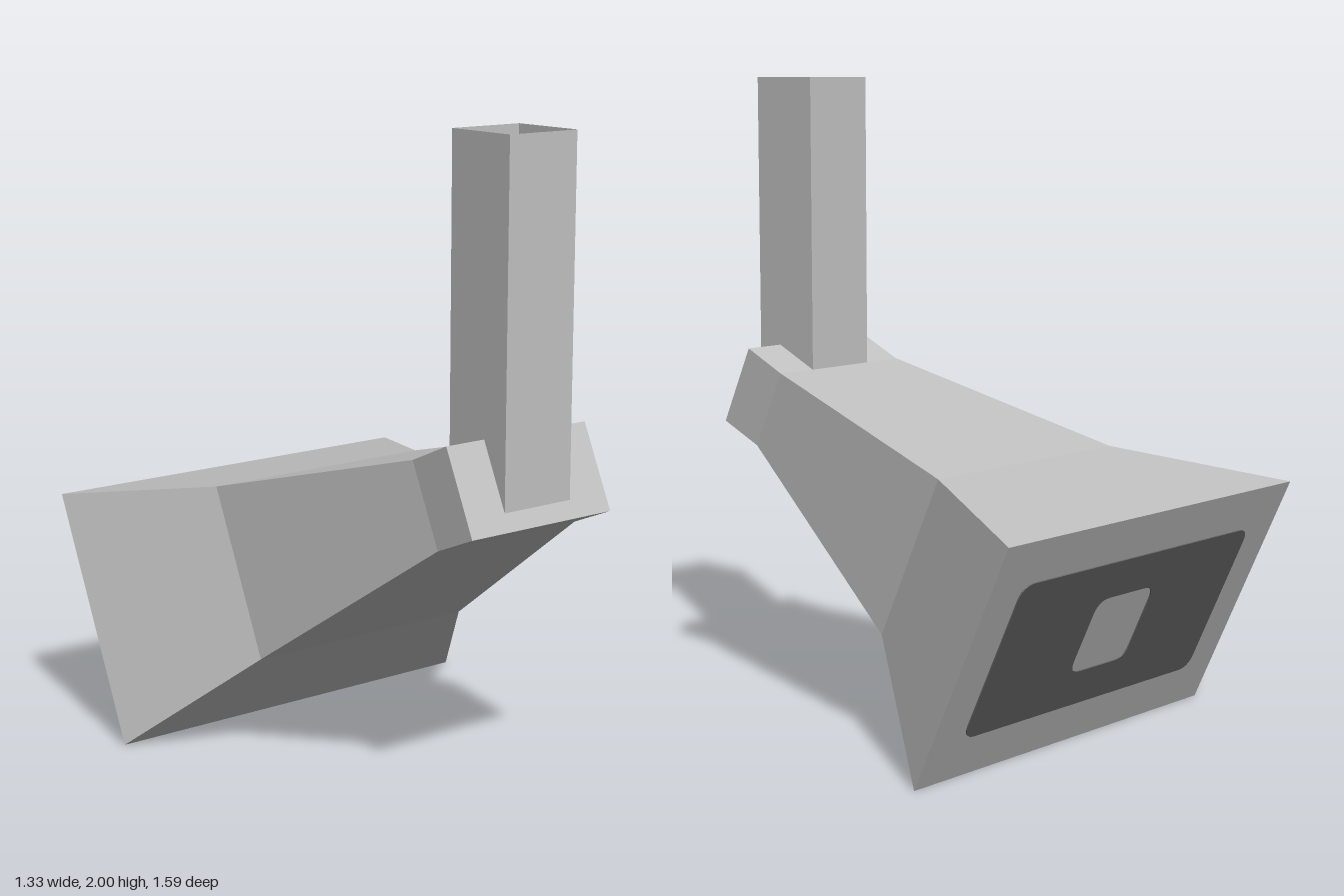
import * as THREE from 'three';

const casing = new THREE.MeshStandardMaterial({ color: 0xc0c0c0, flatShading: true, side: THREE.DoubleSide });
casing.name = 'light grey casing';
const dark = new THREE.MeshStandardMaterial({ color: 0x646464 });
dark.name = 'dark grey panel';

// Cross-sections from the front cap to the flared back: half width, top [y, z], bottom [y, z]
const SECTIONS = [
  [0.263, [1.133, 0.677], [0.885, 0.794]],
  [0.263, [1.065, 0.527], [0.82, 0.643]],
  [0.398, [0.842, -0.287], [0.337, -0.053]],
  [0.663, [0.755, -0.794], [0.0, -0.44]],
];

// Closed loft through rectangular sections
function loft(sections) {
  const pos = [];
  const index = [];
  for (const [w, [ty, tz], [by, bz]] of sections) {
    pos.push(-w, ty, tz, w, ty, tz, w, by, bz, -w, by, bz);
  }
  const quad = (a, b, c, d) => index.push(a, b, c, a, c, d);
  const last = (sections.length - 1) * 4;
  for (let s = 0; s < last; s += 4) {
    for (let i = 0; i < 4; i++) {
      const j = (i + 1) % 4;
      quad(s + i, s + j, s + 4 + j, s + 4 + i);
    }
  }
  quad(3, 2, 1, 0);
  quad(last, last + 1, last + 2, last + 3);
  const indexed = new THREE.BufferGeometry();
  indexed.setAttribute('position', new THREE.Float32BufferAttribute(pos, 3));
  indexed.setIndex(index);
  const g = indexed.toNonIndexed();
  g.computeVertexNormals();
  return g;
}

// Rounded rectangle centred on the origin
function roundedRect(path, w, h, r) {
  const x = w / 2, y = h / 2;
  path.moveTo(-x + r, -y);
  path.lineTo(x - r, -y);
  path.quadraticCurveTo(x, -y, x, -y + r);
  path.lineTo(x, y - r);
  path.quadraticCurveTo(x, y, x - r, y);
  path.lineTo(-x + r, y);
  path.quadraticCurveTo(-x, y, -x, y - r);
  path.lineTo(-x, -y + r);
  path.quadraticCurveTo(-x, -y, -x + r, -y);
  return path;
}

export function createModel() {
  const model = new THREE.Group();
  model.name = 'flaredHeadWithTube';
  const add = (name, geometry, material) => {
    const mesh = new THREE.Mesh(geometry, material);
    mesh.name = name;
    model.add(mesh);
    return mesh;
  };

  // Flared head
  add('flaredHead', loft(SECTIONS), casing);

  // Open square tube rising from the narrow end
  const bottom = 0.93, top = 2;
  const tubeGeo = new THREE.CylinderGeometry(Math.SQRT1_2, Math.SQRT1_2, top - bottom, 4, 1, true);
  tubeGeo.rotateY(Math.PI / 4);
  tubeGeo.scale(0.248, 1, 0.246);
  add('squareTube', tubeGeo.toNonIndexed(), casing)
    .position.set(0, (top + bottom) / 2, 0.647);

  // Dark panel on the slanted back face, with a square opening in the middle
  const outline = roundedRect(new THREE.Shape(), 1.062, 0.534, 0.05);
  outline.holes.push(roundedRect(new THREE.Path(), 0.263, 0.267, 0.05));
  const panel = add('backPanel',
    new THREE.ExtrudeGeometry(outline, { depth: 0.004, bevelEnabled: false, curveSegments: 6 }), dark);
  const [, t, b] = SECTIONS[3];
  panel.position.set(0, (t[0] + b[0]) / 2, (t[1] + b[1]) / 2);
  const outward = new THREE.Vector3(0, t[1] - b[1], b[0] - t[0]).normalize();
  panel.lookAt(panel.position.clone().add(outward));

  return model;
}
